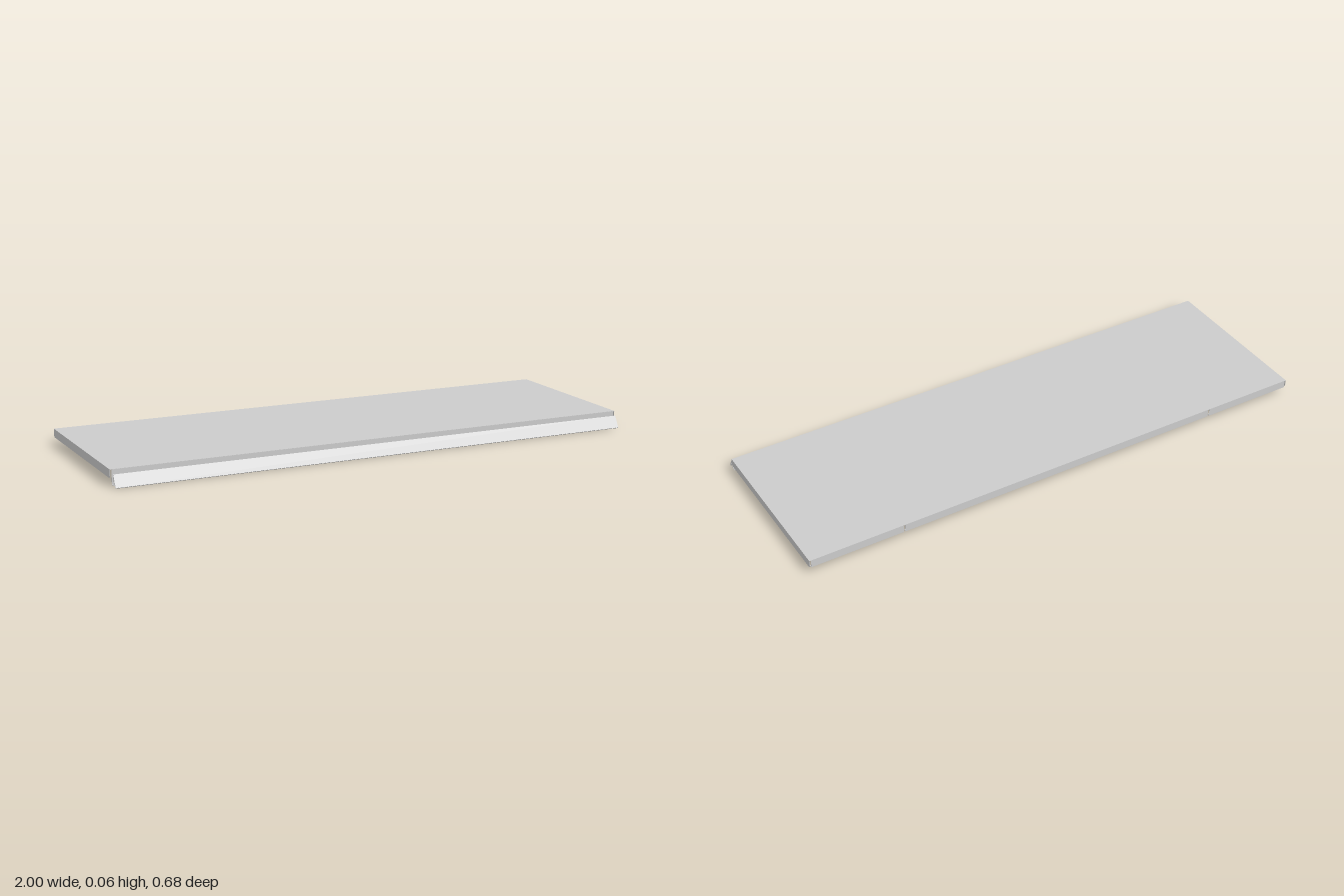
import * as THREE from 'three';

const T = 0.0014; // sheet thickness
const material = new THREE.MeshStandardMaterial({ color: 0xcccccc, side: THREE.DoubleSide });

function addBox(parent, name, w, h, d, x, y, z) {
  const mesh = new THREE.Mesh(new THREE.BoxGeometry(w, h, d), material);
  mesh.name = name;
  mesh.position.set(x, y, z);
  parent.add(mesh);
  return mesh;
}

// Folded sheet running along x, following [z, y] points
function addFold(parent, name, points, width) {
  const fold = new THREE.Group();
  fold.name = name;
  for (let i = 1; i < points.length; i++) {
    const [z0, y0] = points[i - 1], [z1, y1] = points[i];
    const len = Math.hypot(z1 - z0, y1 - y0);
    const strip = addBox(fold, `${name}Strip${i}`, width, T, len, 0, (y0 + y1) / 2, (z0 + z1) / 2);
    strip.rotation.x = -Math.atan2(y1 - y0, z1 - z0);
  }
  parent.add(fold);
}

export function createModel() {
  const shelf = new THREE.Group();
  shelf.name = 'shelf';
  const top = 0.0585, low = 0.0275, front = 0.3, back = -0.339;

  // Flat shelf surface
  addBox(shelf, 'shelfPanel', 2, T, front - back, 0, top - T / 2, (front + back) / 2);

  // Side flanges with clipped lower corners
  const c = 0.008;
  const outline = new THREE.Shape([
    [front, top], [front, low + c], [front - 0.003, low + 0.002], [front - c, low],
    [back + c + 0.002, low], [back + 0.003, low + 0.003], [back, low + c + 0.004], [back, top],
  ].map(([z, y]) => new THREE.Vector2(-z, y)));
  for (const side of [-1, 1]) {
    const geometry = new THREE.ExtrudeGeometry(outline, { depth: T, bevelEnabled: false });
    geometry.translate(0, 0, -T / 2).rotateY(Math.PI / 2);
    const flange = new THREE.Mesh(geometry, material);
    flange.name = side > 0 ? 'leftFlange' : 'rightFlange';
    flange.position.x = side * (1 - T / 2);
    shelf.add(flange);
  }

  // Back flange with two narrow slots, and its folded lip
  const slot = 0.64, gap = 0.006, end = 0.994;
  for (const [a, b] of [[-end, -slot - gap / 2], [-slot + gap / 2, slot - gap / 2], [slot + gap / 2, end]]) {
    const w = b - a, x = (a + b) / 2;
    addBox(shelf, 'backFlange', w, top - low - 0.002, T, x, (top + low + 0.002) / 2, back + T / 2);
    addBox(shelf, 'backLip', w, T, 0.01, x, low + 0.002, back + 0.005);
  }

  // Front flange, channel and sloped label rail with a hemmed edge
  addFold(shelf, 'frontRail', [
    [front, top - T / 2], [front, 0.005], [0.316, 0.005], [0.316, 0.044],
    [0.339, 0.003], [0.337, 0.001], [0.33, 0.014],
  ], 1.987);
  return shelf;
}
